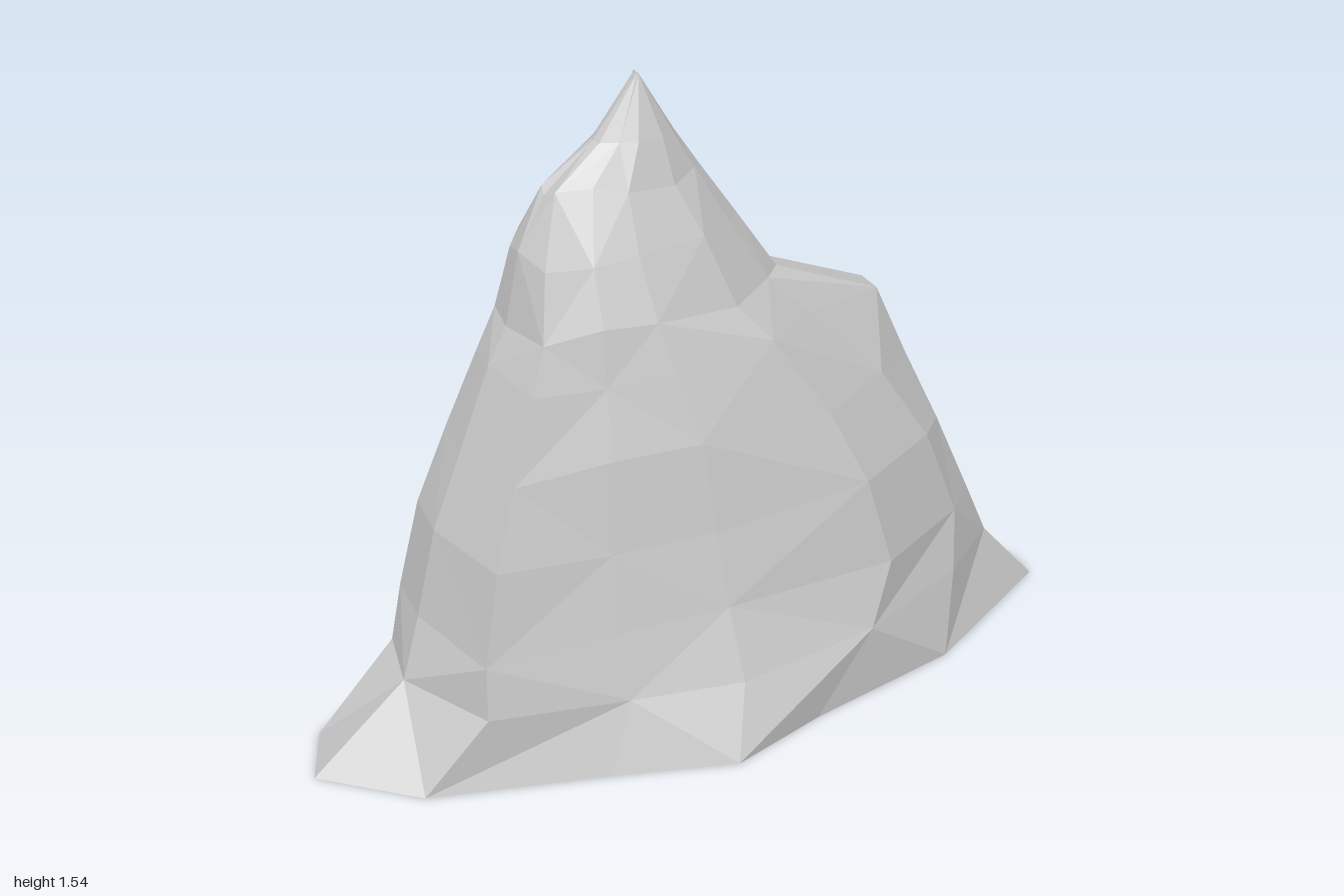
import * as THREE from 'three';

// Ring outlines as [across, depth], from the left tip round the front
const foot = [[-1, .3], [-.8, .66], [-.37, .85], [-.08, 1], [.18, .81], [.6, .58], [1, .08],
  [1, -.15], [.7, -.44], [.38, -.53], [0, -.97], [-.28, -1], [-.52, -.65], [-.92, -.06]];
const crag = [[-1, .2], [-.93, .97], [-.5, .99], [-.1, 1], [.53, .87], [.9, .42], [1, .16],
  [1, -.24], [.88, -.65], [.42, -.82], [-.1, -1], [-.45, -1], [-.79, -.88], [-.97, -.35]];

// Levels: height, left x, body right x, spur x, front z, back z
const levels = [
  [0, -1, 1, 1, .435, -.44],
  [.17, -.75, .85, .85, .35, -.4],
  [.32, -.695, .775, .785, .278, -.368],
  [.52, -.645, .69, .7, .24, -.335],
  [.72, -.57, .56, .607, .195, -.3],
  [.9, -.49, .36, .53, .145, -.253],
  [1.01, -.44, .245, .26, .108, -.235],
  [1.16, -.4, .15, .16, .052, -.222],
  [1.3, -.325, .06, .065, 0, -.207],
  [1.4, -.2, 0, 0, -.035, -.175],
  [1.545, -.086, -.084, -.084, -.09, -.12],
];
const axisZ = -.1;
const isSpur = (i) => i === 6 || i === 7;

function createRock() {
  const n = foot.length, top = levels.length - 1;
  const positions = [], index = [];

  levels.forEach(([y, left, right, spur, front, back], k) => {
    const t = Math.min(1, y / .3);
    const narrowing = THREE.MathUtils.clamp((y - 1.14) / .16, 0, 1) * .62;
    for (let i = 0; i < n; i++) {
      const u = THREE.MathUtils.lerp(foot[i][0], crag[i][0], t);
      // Near the summit the left side narrows to a ridge
      const v = THREE.MathUtils.lerp(foot[i][1], crag[i][1], t) * (1 - narrowing * Math.max(0, -u));
      // Small regular unevenness breaks the walls into facets
      const rough = k > 0 && k < 9 && !isSpur(i) ? Math.sin(i * 4.7 + k * 2.9) : 0;
      const depth = v > 0 ? front - axisZ : axisZ - back;
      positions.push(
        isSpur(i) ? spur : (left + right) / 2 + u * (right - left) / 2,
        y + rough * .012,
        axisZ + v * depth * (1 + rough * .01));
    }
  });

  // Walls
  for (let k = 0; k < top; k++) {
    for (let i = 0; i < n; i++) {
      const j = (i + 1) % n;
      const a = k * n + i, b = k * n + j, c = a + n, d = b + n;
      if ((i + k) % 2) index.push(a, b, d, a, d, c);
      else index.push(a, b, c, b, d, c);
    }
  }
  // Underside and summit
  for (let i = 1; i < n - 1; i++) {
    index.push(0, i + 1, i);
    index.push(top * n, top * n + i, top * n + i + 1);
  }

  const geometry = new THREE.BufferGeometry();
  geometry.setAttribute('position', new THREE.Float32BufferAttribute(positions, 3));
  geometry.setIndex(index);
  const faceted = geometry.toNonIndexed();
  faceted.computeVertexNormals();
  return faceted;
}

export function createModel() {
  const stone = new THREE.MeshStandardMaterial({ color: 0xcacaca, flatShading: true });
  stone.name = 'grey stone';
  const rock = new THREE.Mesh(createRock(), stone);
  rock.name = 'rock';
  const model = new THREE.Group();
  model.name = 'rockPeak';
  model.add(rock);
  return model;
}
